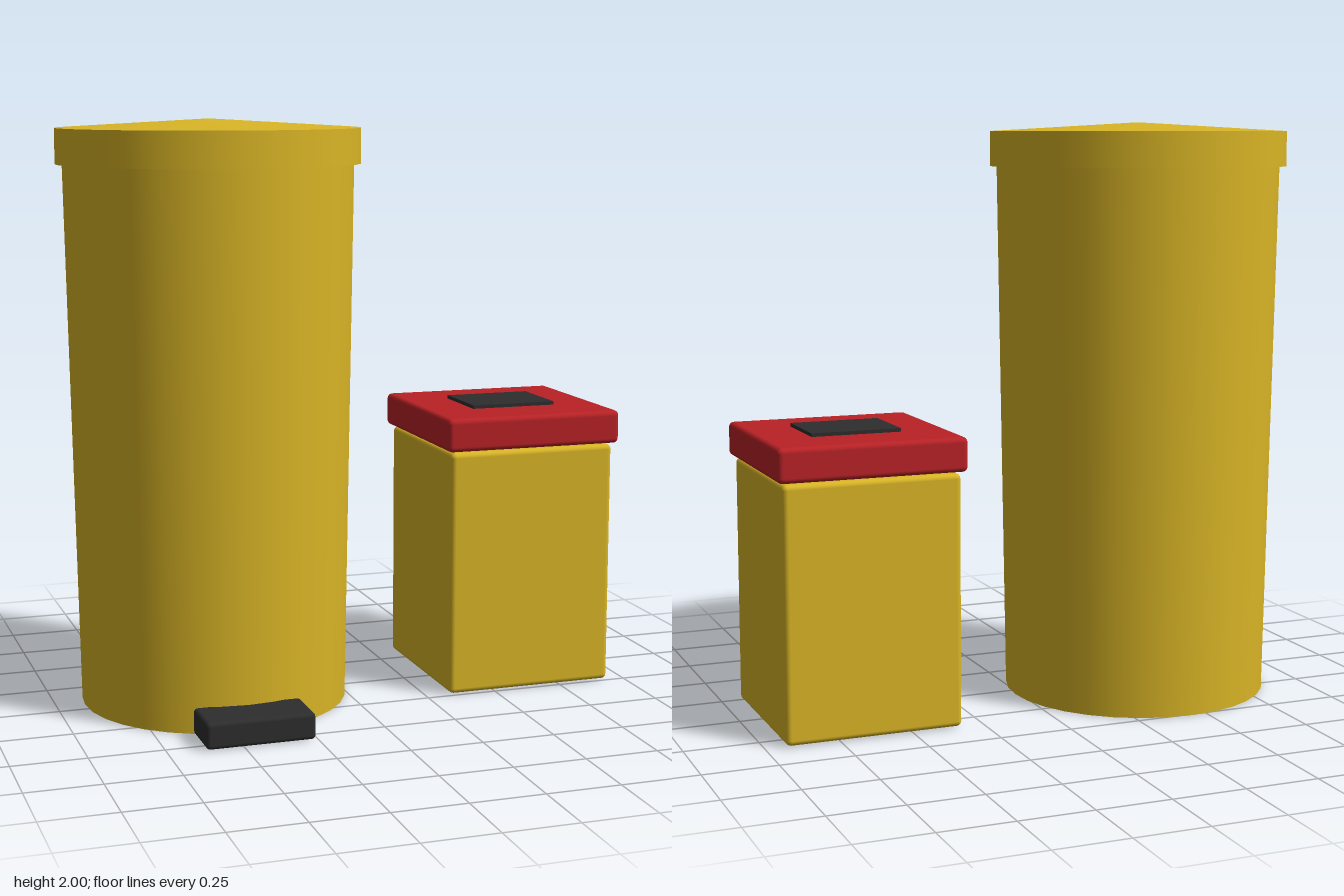
import * as THREE from 'three';
import { RoundedBoxGeometry } from 'three/addons/geometries/RoundedBoxGeometry.js';

function material(name, color) {
  const m = new THREE.MeshStandardMaterial({ color });
  m.name = name;
  return m;
}

export function createModel() {
  const yellow = material('yellow', 0xd9b526);
  const red = material('red', 0xb92226);
  const black = material('black', 0x2d2d2d);

  const add = (parent, name, geometry, mat, x, y, z) => {
    const mesh = new THREE.Mesh(geometry, mat);
    mesh.name = name;
    mesh.position.set(x, y, z);
    parent.add(mesh);
    return mesh;
  };

  const model = new THREE.Group();
  model.name = 'wasteBins';

  // Tall round bin: tapered body, overhanging lid with a shallow cone top, foot pedal
  const tall = new THREE.Group();
  tall.name = 'tallPedalBin';
  tall.position.set(-0.443, 0, -0.05);
  model.add(tall);
  add(tall, 'tallBody', new THREE.CylinderGeometry(0.492, 0.46, 1.86, 32), yellow, 0, 0.93, 0);
  add(tall, 'tallLidRim', new THREE.CylinderGeometry(0.515, 0.515, 0.12, 32), yellow, 0, 1.91, 0);
  add(tall, 'tallLidTop', new THREE.ConeGeometry(0.515, 0.03, 32, 1, true), yellow, 0, 1.985, 0);
  add(tall, 'footPedal', new RoundedBoxGeometry(0.368, 0.09, 0.182, 2, 0.014), black, 0, 0.048, 0.522);

  // Small square bin: rounded body, wider lid, thin plate on top
  const small = new THREE.Group();
  small.name = 'smallSquareBin';
  small.position.set(0.632, 0, -0.05);
  model.add(small);
  add(small, 'smallBody', new RoundedBoxGeometry(0.605, 0.856, 0.605, 3, 0.018), yellow, 0, 0.433, 0);
  add(small, 'smallLid', new RoundedBoxGeometry(0.642, 0.116, 0.642, 3, 0.018), red, 0, 0.925, 0);
  add(small, 'lidPlate', new THREE.BoxGeometry(0.308, 0.014, 0.25), black, 0, 0.988, 0);

  return model;
}
